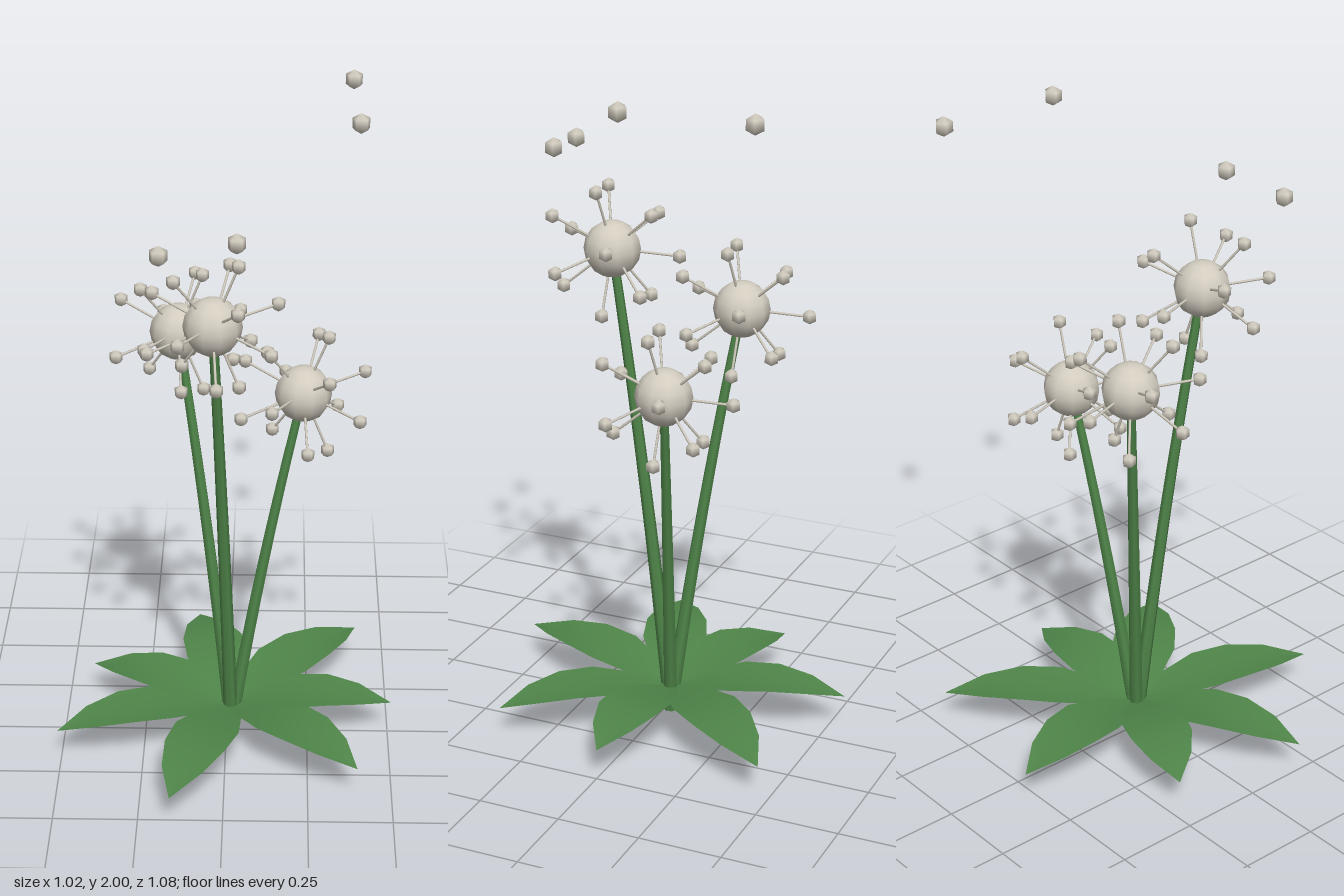
import * as THREE from 'three';

const green = new THREE.MeshStandardMaterial({ name: 'leafGreen', color: 0x4f8549, side: THREE.DoubleSide });
const cream = new THREE.MeshStandardMaterial({ name: 'seedCream', color: 0xd3cdc0 });

const BASE = new THREE.Vector3(0.015, 0, -0.02);
const UP = new THREE.Vector3(0, 1, 0);

function add(parent, geometry, material, name) {
  const mesh = new THREE.Mesh(geometry, material);
  mesh.name = name;
  parent.add(mesh);
  return mesh;
}

// Folded leaf along +x, built from rows of left edge, midrib, right edge
function leafGeometry(length) {
  const halfWidths = [0.015, 0.07, 0.1, 0.094, 0.063, 0];
  const heights = [0.08, 0.105, 0.124, 0.131, 0.122, 0.1];
  const positions = [], index = [];
  halfWidths.forEach((w, i) => {
    const x = (i / 5) * length;
    for (const s of [-1, 0, 1]) positions.push(x, heights[i] + 0.1 * w * Math.abs(s), s * w);
    if (i === 0) return;
    for (const k of [0, 1]) {
      const a = (i - 1) * 3 + k, b = a + 3;
      index.push(a, a + 1, b + 1);
      if (i < 5) index.push(a, b + 1, b);
      else if (k === 0) index.push(a, b + 1, b);
      else index.push(a, b + 1, b);
    }
  });
  const geo = new THREE.BufferGeometry();
  geo.setAttribute('position', new THREE.Float32BufferAttribute(positions, 3));
  geo.setIndex(index);
  geo.computeVertexNormals();
  return geo;
}

// Tube that narrows towards the flower head
function stemGeometry(head) {
  const bend = BASE.clone().lerp(head, 0.4);
  bend.y = head.y * 0.5;
  const curve = new THREE.QuadraticBezierCurve3(BASE, bend, head);
  const rings = 10, sides = 6;
  const geo = new THREE.TubeGeometry(curve, rings, 0.022, sides);
  const pos = geo.attributes.position, v = new THREE.Vector3();
  for (let i = 0; i < pos.count; i++) {
    const t = Math.floor(i / (sides + 1)) / rings;
    const centre = curve.getPointAt(t);
    v.fromBufferAttribute(pos, i).sub(centre).multiplyScalar(1 - 0.4 * t).add(centre);
    pos.setXYZ(i, v.x, Math.max(0, v.y), v.z);
  }
  return geo;
}

// Round head with seeds on spokes, spread by the golden angle
function seedHead(seedGeo) {
  const group = new THREE.Group();
  group.name = 'seedHead';
  add(group, new THREE.SphereGeometry(0.085, 10, 8), cream, 'headCore');
  const count = 14, reach = 0.2;
  const spokeGeo = new THREE.CylinderGeometry(0.004, 0.004, reach, 5);
  for (let i = 0; i < count; i++) {
    const y = 1 - (2 * i + 1) / count;
    const r = Math.sqrt(1 - y * y);
    const a = THREE.MathUtils.degToRad(12.4 + 137.508 * i);
    const dir = new THREE.Vector3(r * Math.cos(a), y, r * Math.sin(a));
    const spoke = add(group, spokeGeo, cream, 'spoke');
    spoke.position.copy(dir).multiplyScalar(reach / 2);
    spoke.quaternion.setFromUnitVectors(UP, dir);
    add(group, seedGeo, cream, 'seed').position.copy(dir).multiplyScalar(reach);
  }
  return group;
}

export function createModel() {
  const model = new THREE.Group();
  model.name = 'seedHeadPlant';

  // Rosette of leaves: angle in degrees, length
  const leaves = [[-102.1, 0.537], [-48.7, 0.597], [1.7, 0.495], [45.7, 0.547],
    [107, 0.583], [159.1, 0.562], [204.8, 0.482]];
  for (const [angle, length] of leaves) {
    const leaf = add(model, leafGeometry(length), green, 'leaf');
    leaf.position.copy(BASE);
    leaf.rotation.y = -THREE.MathUtils.degToRad(angle);
  }

  // Stems and their heads
  const seedGeo = new THREE.SphereGeometry(0.023, 5, 3).rotateY(-Math.PI / 2);
  const heads = [[-0.034, 1.44, 0.19], [-0.146, 1.27, -0.175], [0.226, 1.11, -0.092]];
  for (const p of heads) {
    const at = new THREE.Vector3(...p);
    add(model, stemGeometry(at), green, 'stem');
    const head = seedHead(seedGeo);
    head.position.copy(at);
    model.add(head);
  }

  // Loose seeds drifting away
  const looseGeo = new THREE.SphereGeometry(0.03, 5, 3).rotateY(-Math.PI / 2);
  const loose = [[0.365, 1.97, -0.418], [0.375, 1.965, -0.025], [-0.175, 1.72, 0.372], [0.036, 1.745, 0.34]];
  for (const p of loose) add(model, looseGeo, cream, 'looseSeed').position.set(...p);

  return model;
}
